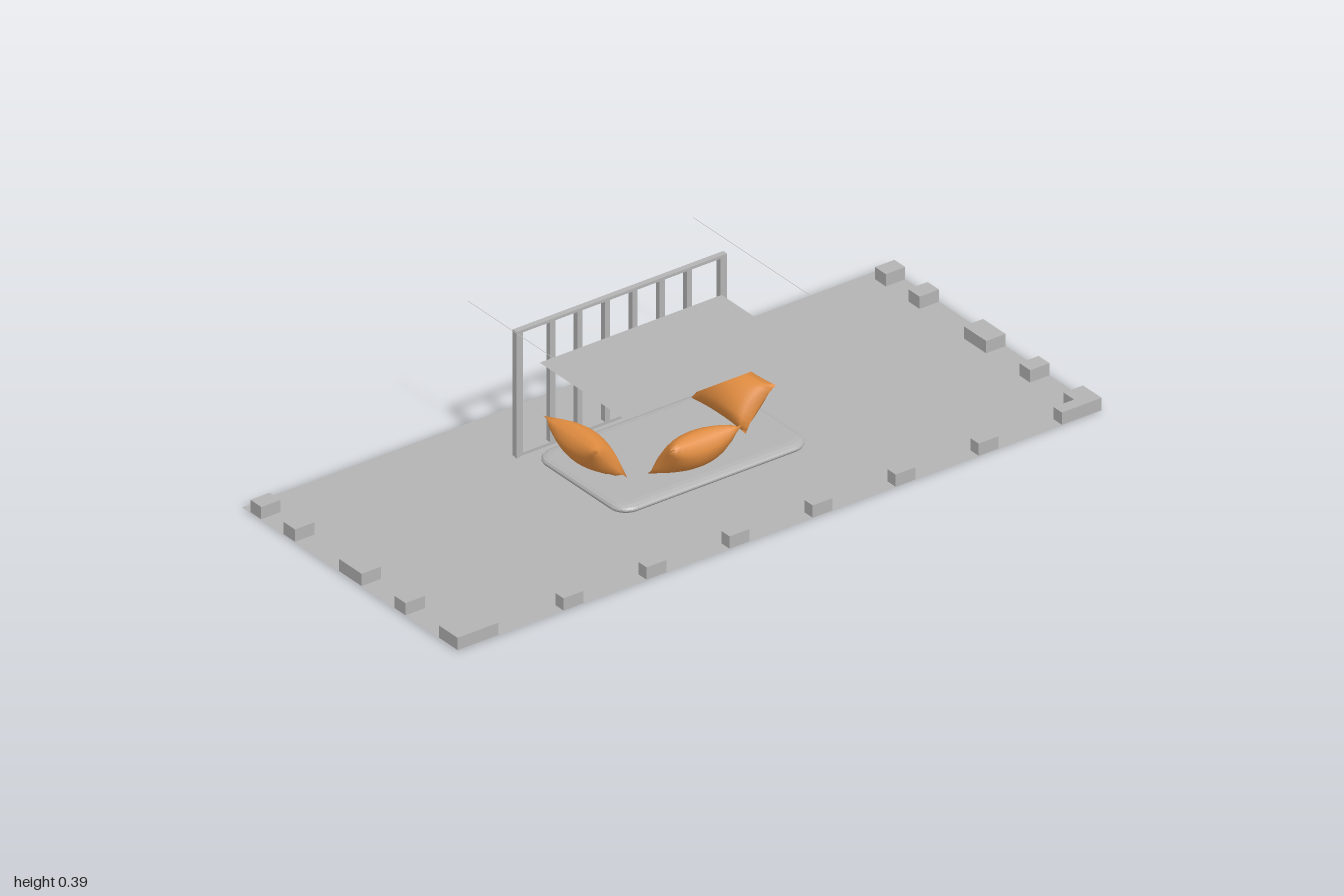
import * as THREE from 'three';
import { mergeGeometries, mergeVertices } from 'three/addons/utils/BufferGeometryUtils.js';

const grey = new THREE.MeshStandardMaterial({ color: 0xb3b3b3, side: THREE.DoubleSide });
grey.name = 'grey';
const orange = new THREE.MeshStandardMaterial({ color: 0xe08c40 });
orange.name = 'orange';

function add(parent, name, geometry, material = grey) {
  const mesh = new THREE.Mesh(geometry, material);
  mesh.name = name;
  parent.add(mesh);
  return mesh;
}

// Box given by its limits on each axis
function box(parent, name, x0, x1, y0, y1, z0, z1) {
  const g = new THREE.BoxGeometry(x1 - x0, y1 - y0, z1 - z0);
  add(parent, name, g).position.set((x0 + x1) / 2, (y0 + y1) / 2, (z0 + z1) / 2);
}

// Flat horizontal sheet given by its limits
function sheet(parent, name, x0, x1, y, z0, z1) {
  const g = new THREE.PlaneGeometry(x1 - x0, z1 - z0).rotateX(-Math.PI / 2);
  add(parent, name, g).position.set((x0 + x1) / 2, y, (z0 + z1) / 2);
}

// Rounded slab with tapering edges, widest at mid height
function mattressGeometry(halfX, halfZ, radius, thickness) {
  const bevel = 0.028;
  const w = halfX - bevel, d = halfZ - bevel, r = radius - bevel;
  const s = new THREE.Shape();
  s.moveTo(-w + r, -d);
  s.lineTo(w - r, -d);
  s.absarc(w - r, -d + r, r, -Math.PI / 2, 0);
  s.absarc(w - r, d - r, r, 0, Math.PI / 2);
  s.absarc(-w + r, d - r, r, Math.PI / 2, Math.PI);
  s.absarc(-w + r, -d + r, r, Math.PI, Math.PI * 1.5);
  const core = 0.004;
  return new THREE.ExtrudeGeometry(s, {
    depth: core, bevelEnabled: true, bevelSize: bevel,
    bevelThickness: (thickness - core) / 2, bevelSegments: 3, curveSegments: 6,
  }).translate(0, 0, -core / 2).rotateX(-Math.PI / 2);
}

// Stuffed cushion: two bulging sheets with pinched edges and pointed corners
function cushionGeometry(width, height, depth) {
  const side = (sign) => {
    const g = new THREE.PlaneGeometry(2, 2, 12, 10);
    const p = g.attributes.position;
    for (let i = 0; i < p.count; i++) {
      const u = p.getX(i), v = p.getY(i);
      const bulge = Math.pow(Math.max(0, (1 - u * u) * (1 - v * v)), 0.55);
      p.setXYZ(i,
        u * (1 - 0.09 * (1 - v * v)) * width / 2,
        v * (1 - 0.08 * (1 - u * u)) * height / 2,
        bulge * depth / 2);
    }
    if (sign < 0) g.rotateY(Math.PI);
    g.deleteAttribute('uv');
    g.deleteAttribute('normal');
    return g;
  };
  const g = mergeVertices(mergeGeometries([side(1), side(-1)]), 1e-5);
  g.computeVertexNormals();
  return g;
}

export function createModel() {
  const model = new THREE.Group();
  model.name = 'seatingTerrace';

  // Floor in two strips
  sheet(model, 'floorNarrowStrip', -0.446, -0.226, 0.001, -1, 1);
  sheet(model, 'floorWideStrip', -0.226, 0.446, 0.001, -1, 1);

  // Low blocks around three sides
  const blocks = new THREE.Group();
  blocks.name = 'borderBlocks';
  model.add(blocks);
  const top = 0.036;
  for (const s of [-1, 1]) {
    const [z0, z1] = s < 0 ? [-1, -0.94] : [0.937, 0.997];
    for (const [x0, x1] of [[-0.415, -0.37], [-0.277, -0.23], [-0.047, 0.046], [0.183, 0.228]]) {
      box(blocks, 'endBlock', x0, x1, 0, top, z0, z1);
    }
    box(blocks, 'cornerBlock', 0.367, 0.444, 0, top, z0, z1);
    box(blocks, 'cornerBlockLeg', 0.41, 0.444, 0, top, s < 0 ? -0.94 : 0.87, s < 0 ? -0.877 : 0.937);
  }
  for (let i = 0; i < 6; i++) {
    const z = -0.65 + i * 0.2575;
    box(blocks, 'sideBlock', 0.41, 0.444, 0, top, z - 0.031, z + 0.031);
  }

  // Back railing
  const railing = new THREE.Group();
  railing.name = 'railing';
  model.add(railing);
  for (const z of [-0.313, 0.32]) {
    box(railing, 'railingPost', -0.22, -0.204, 0.024, 0.384, z - 0.01, z + 0.01);
    box(railing, 'postFoot', -0.216, -0.209, 0.018, 0.024, z - 0.005, z + 0.005);
  }
  for (let i = 0; i < 6; i++) {
    const z = 0.217 - i * 0.0848;
    box(railing, 'railingBar', -0.22, -0.204, 0.03, 0.38, z - 0.008, z + 0.008);
  }
  box(railing, 'topRail', -0.22, -0.204, 0.376, 0.384, -0.303, 0.31);
  box(railing, 'bottomRail', -0.22, -0.204, 0.024, 0.032, -0.303, 0.31);

  // Mattress
  add(model, 'mattress', mattressGeometry(0.183, 0.296, 0.05, 0.025)).position.set(0, 0.025, -0.003);

  // Three cushions leaning outwards around the middle
  const cushion = cushionGeometry(0.225, 0.142, 0.09);
  const lean = 0.72;
  for (const [x, z, turn] of [[-0.052, 0.23, Math.PI], [0.12, 0.018, -Math.PI / 2], [-0.052, -0.23, 0]]) {
    const m = add(model, 'cushion', cushion, orange);
    m.rotation.set(-lean, turn, 0, 'YXZ');
    m.position.set(x, 0.091, z);
  }

  // Flat canopy over the mattress
  sheet(model, 'canopy', -0.178, 0.172, 0.29, -0.287, 0.277);

  // Fine overhead lines with end plates
  for (const [z, p0, p1] of [[-0.353, -0.353, -0.3], [0.344, 0.288, 0.344]]) {
    sheet(model, 'overheadLine', -0.385, 0.409, 0.394, z - 0.001, z + 0.001);
    sheet(model, 'endPlate', 0.377, 0.409, 0.394, p0, p1);
  }
  return model;
}
